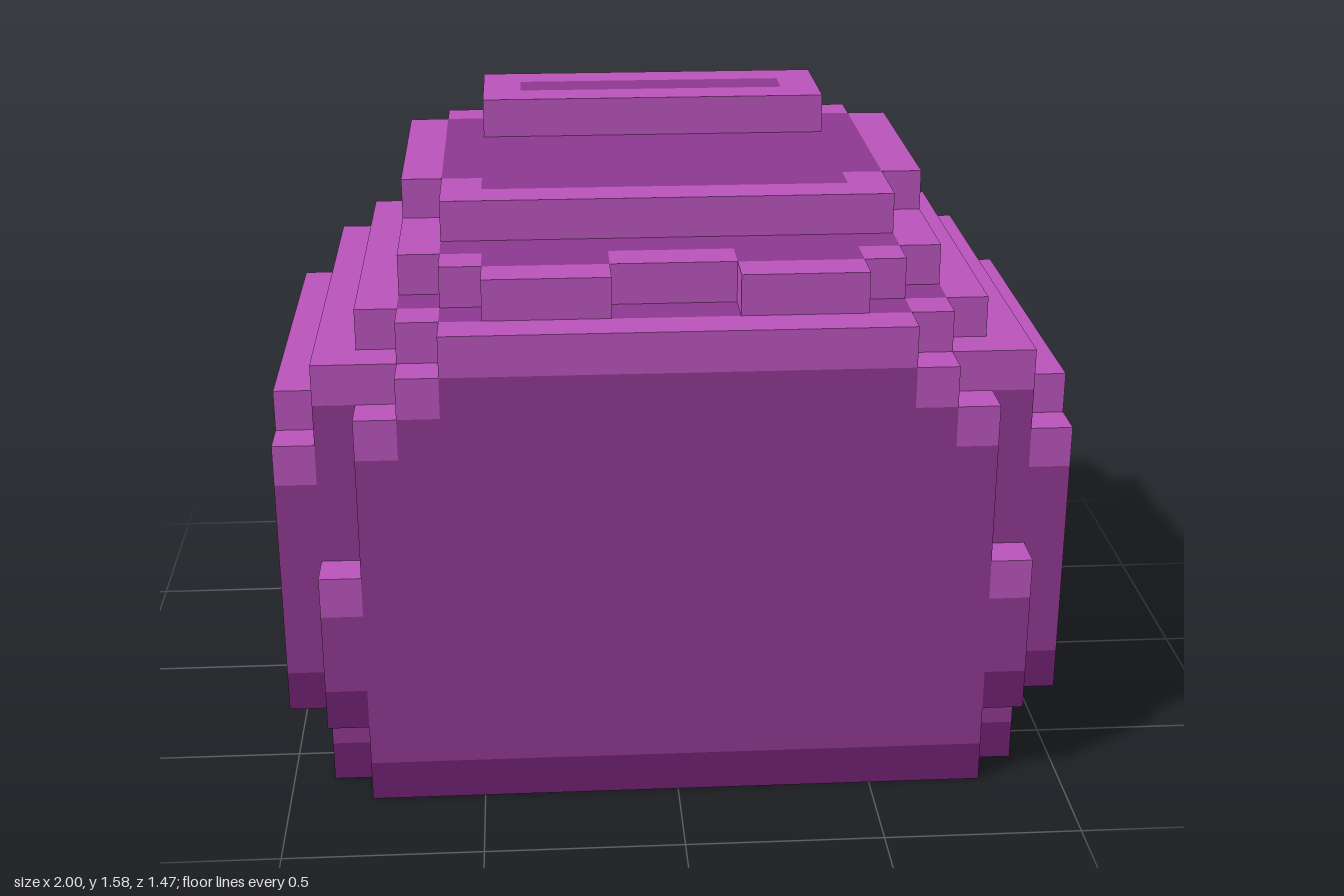
import * as THREE from 'three';

const U = 2 / 19; // edge of one block

const materials = {};
for (const [name, hex] of [['lightPurple', 0xbb55bd], ['midPurple', 0x8f3991], ['darkPurple', 0x6f2271]]) {
  materials[name] = new THREE.MeshStandardMaterial({ color: hex });
  materials[name].name = name;
}
const L = 'lightPurple', M = 'midPurple', D = 'darkPurple';

// Each row: colour, columns from the centre (mirrored), layers up, slices from the front to the back.
// Later rows overwrite earlier ones.
const parts = {
  frontPanel: [
    [M, 0, 7, 0, 9, 0, 0], [D, 0, 7, 0, 0, 0, 0],
    [M, 0, 5, 10, 10, 0, 0], [L, 0, 5, 11, 11, 0, 0],
    [L, 6, 6, 10, 10, 0, 0], [L, 7, 7, 9, 9, 0, 0],
    // corner posts
    [M, 8, 8, 0, 9, 1, 1], [D, 8, 8, 0, 0, 1, 1],
    [D, 8, 8, 2, 2, 0, 0], [M, 8, 8, 3, 4, 0, 0], [L, 8, 8, 5, 5, 0, 0],
  ],
  sideWall: [
    [M, 9, 9, 2, 8, 1, 5], [D, 9, 9, 2, 2, 1, 5],
    [M, 9, 9, 6, 8, 6, 10], [D, 9, 9, 6, 6, 6, 11],
    [L, 9, 9, 9, 9, 2, 10], [L, 9, 9, 8, 8, 1, 1], [L, 9, 9, 7, 7, 11, 11],
  ],
  ceiling: [
    [D, 0, 7, 9, 9, 1, 5], [D, 8, 8, 9, 9, 2, 11], [D, 0, 1, 9, 9, 6, 6],
    [D, 0, 7, 10, 10, 1, 11],
  ],
  steppedRoof: [
    [L, 8, 8, 10, 10, 1, 11], [L, 7, 7, 10, 10, 1, 1], [L, 7, 7, 10, 10, 11, 11],
    [M, 0, 6, 11, 11, 1, 11], [L, 6, 6, 11, 11, 1, 1], [L, 7, 7, 11, 11, 2, 10],
    // middle tier with two raised bumps at the front
    [M, 0, 5, 12, 12, 2, 11], [L, 2, 4, 12, 12, 1, 1],
    [L, 0, 1, 12, 12, 2, 2], [L, 5, 5, 12, 12, 2, 2],
    [L, 6, 6, 12, 12, 3, 5], [M, 6, 6, 12, 12, 6, 11],
    // top tier
    [M, 0, 5, 13, 13, 4, 11], [L, 0, 5, 13, 13, 4, 4],
    [L, 5, 5, 13, 13, 5, 5], [L, 6, 6, 13, 13, 6, 11],
  ],
  backPanel: [
    [D, 0, 6, 9, 9, 12, 12], [L, 7, 7, 9, 9, 12, 12],
    [M, 0, 5, 10, 12, 12, 12], [L, 6, 6, 10, 10, 12, 12],
    [L, 5, 5, 12, 12, 12, 12], [L, 0, 5, 13, 13, 12, 12],
  ],
  backKnob: [
    [D, 0, 3, 11, 11, 13, 13], [M, 0, 3, 12, 12, 13, 13], [L, 0, 3, 13, 13, 13, 13],
  ],
  topRidge: [
    [L, 0, 4, 14, 14, 10, 12], [M, 0, 3, 14, 14, 11, 11],
  ],
};

// Outward direction and two edge directions (edgeA x edgeB = outward)
const FACES = [
  [[1, 0, 0], [0, 1, 0], [0, 0, 1]], [[-1, 0, 0], [0, 0, 1], [0, 1, 0]],
  [[0, 1, 0], [0, 0, 1], [1, 0, 0]], [[0, -1, 0], [1, 0, 0], [0, 0, 1]],
  [[0, 0, 1], [1, 0, 0], [0, 1, 0]], [[0, 0, -1], [0, 1, 0], [1, 0, 0]],
];

export function createModel() {
  const model = new THREE.Group();
  model.name = 'blockHelmet';

  // Fill the block grid
  const blocks = new Map();
  const key = (i, j, k) => `${i},${j},${k}`;
  for (const [part, rows] of Object.entries(parts)) {
    for (const [color, i0, i1, j0, j1, k0, k1] of rows) {
      for (let i = i0; i <= i1; i++)
        for (let j = j0; j <= j1; j++)
          for (let k = k0; k <= k1; k++)
            for (const s of [-1, 1]) {
              const p = [s * i || 0, j, k];
              blocks.set(key(...p), { part, color, p });
            }
    }
  }

  // Collect the exposed faces by part and colour
  const surfaces = new Map();
  for (const { part, color, p: [i, j, k] } of blocks.values()) {
    const id = `${part}|${color}`;
    if (!surfaces.has(id)) surfaces.set(id, { part, color, pos: [], nor: [] });
    const out = surfaces.get(id);
    const c = [i * U, (j + 0.5) * U, (6.5 - k) * U];
    for (const [n, a, b] of FACES) {
      if (blocks.has(key(i + n[0], j + n[1], k - n[2]))) continue;
      for (const [u, v] of [[-1, -1], [1, -1], [1, 1], [-1, -1], [1, 1], [-1, 1]]) {
        for (let t = 0; t < 3; t++) out.pos.push(c[t] + (n[t] + u * a[t] + v * b[t]) * U / 2);
        out.nor.push(...n);
      }
    }
  }

  // One group per part, one mesh per colour
  const groups = {};
  for (const { part, color, pos, nor } of surfaces.values()) {
    if (!pos.length) continue;
    if (!groups[part]) {
      groups[part] = new THREE.Group();
      groups[part].name = part;
      model.add(groups[part]);
    }
    const geometry = new THREE.BufferGeometry();
    geometry.setAttribute('position', new THREE.Float32BufferAttribute(pos, 3));
    geometry.setAttribute('normal', new THREE.Float32BufferAttribute(nor, 3));
    const mesh = new THREE.Mesh(geometry, materials[color]);
    mesh.name = `${part} ${color}`;
    groups[part].add(mesh);
  }
  return model;
}
